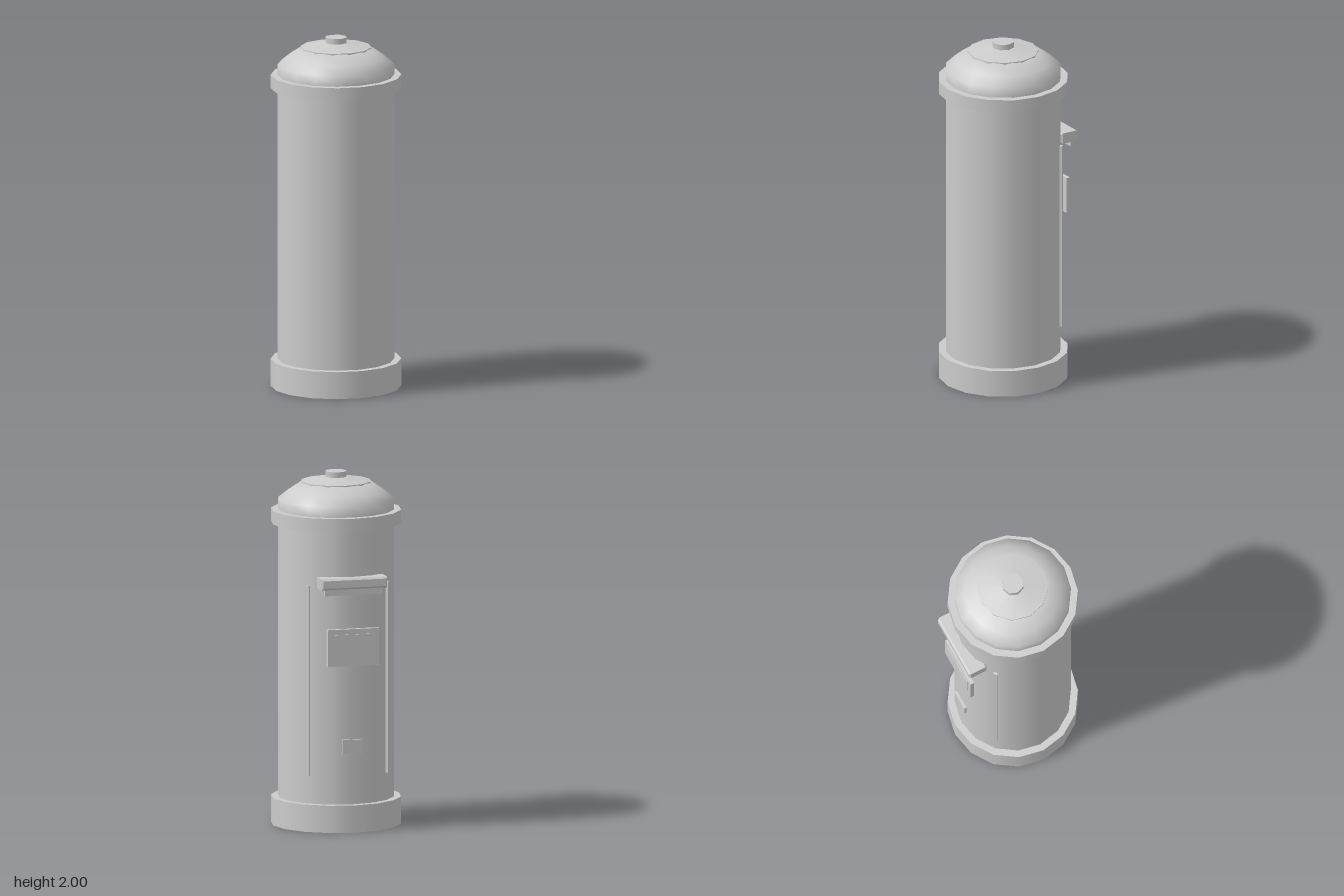
import * as THREE from 'three';
import { toCreasedNormals } from 'three/addons/utils/BufferGeometryUtils.js';

const CENTRE_Z = 0.004; // the hood at the back shifts the column slightly forward

export function createModel() {
  const group = new THREE.Group();
  const grey = new THREE.MeshStandardMaterial({ color: 0xcccccc });
  grey.name = 'paintedGrey';

  const add = (name, geometry, x, y, z) => {
    const mesh = new THREE.Mesh(geometry, grey);
    mesh.name = name;
    mesh.position.set(x, y, z);
    group.add(mesh);
    return mesh;
  };
  const drum = (name, radius, y0, y1, sides, topRadius = radius) =>
    add(name, new THREE.CylinderGeometry(topRadius, radius, y1 - y0, sides), 0, (y0 + y1) / 2, CENTRE_Z);
  const box = (name, w, y0, y1, z0, z1, x = 0) =>
    add(name, new THREE.BoxGeometry(w, y1 - y0, z1 - z0), x, (y0 + y1) / 2, (z0 + z1) / 2);

  // Column with its base and upper collar
  drum('base', 0.367, 0, 0.155, 16);
  drum('body', 0.327, 0.15, 1.75, 16);
  drum('collar', 0.367, 1.71, 1.785, 16);

  // Domed roof
  const profile = [[0.327, 1.78], [0.327, 1.845], [0.27, 1.89], [0.195, 1.94], [0, 1.95]]
    .map(([r, y]) => new THREE.Vector2(r, y));
  add('dome', new THREE.LatheGeometry(profile, 16), 0, 0, CENTRE_Z);

  // Shallow conical cap and knob
  drum('capRim', 0.199, 1.934, 1.945, 12);
  drum('cap', 0.199, 1.945, 1.972, 12, 0.04);
  drum('knob', 0.062, 1.965, 2, 8);

  // Bevelled hood over the slot
  const b = 0.01;
  const w = 0.192 - b, h = 0.031 - b;
  const outline = new THREE.Shape([[-w, -h], [w, -h], [w, h], [-w, h]].map(p => new THREE.Vector2(...p)));
  const hood = new THREE.ExtrudeGeometry(outline, {
    depth: 0.113 - 2 * b, bevelEnabled: true, bevelSize: b, bevelThickness: b, bevelSegments: 1,
  });
  add('hood', toCreasedNormals(hood, 0.5), 0, 1.417, -0.373 + b);
  box('slotLip', 0.34, 1.35, 1.39, -0.355, -0.335);

  // Notice plate, its raised panel, and the small lock plate
  box('noticePlate', 0.3, 0.945, 1.155, -0.345, -0.322);
  box('noticePanel', 0.235, 0.975, 1.125, -0.35, -0.344);
  box('lockPlate', 0.115, 0.445, 0.525, -0.335, -0.32);

  // Vertical door strips, turned to follow the column
  for (const side of [-1, 1]) {
    const strip = add(side > 0 ? 'leftDoorStrip' : 'rightDoorStrip',
      new THREE.BoxGeometry(0.025, 1.085, 0.018), side * 0.234, 0.855, -0.23);
    strip.rotation.y = -side * Math.PI / 4;
  }

  return group;
}
